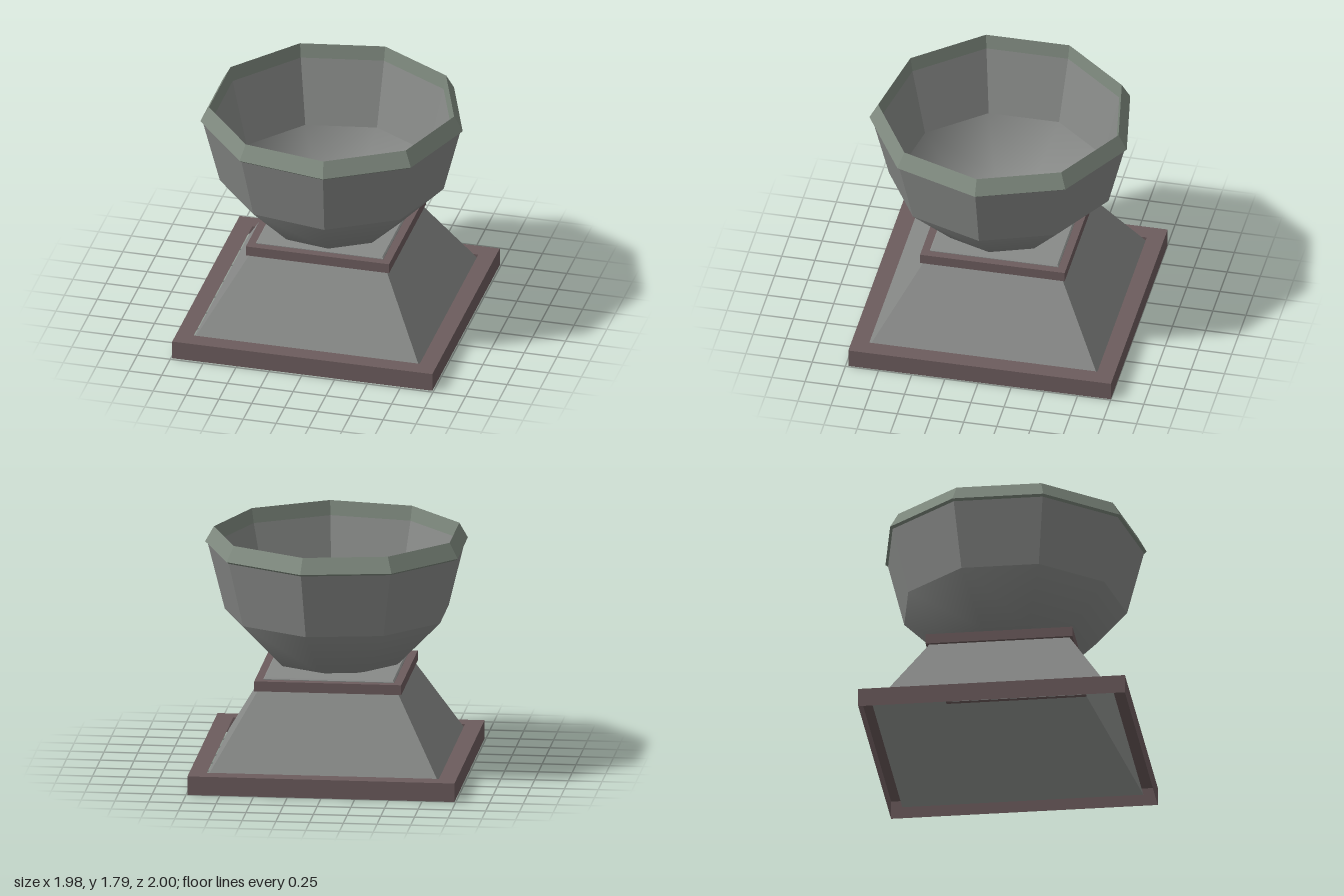
import * as THREE from 'three';

const material = (color, flatShading = true) =>
  new THREE.MeshStandardMaterial({ color, flatShading, side: THREE.DoubleSide });

const stone = material(0x888a88);
const smoothStone = material(0x888a88, false);
const trim = material(0x6c5c5d);
const rimGreen = material(0x7e897e);

function add(parent, name, geometry, mat) {
  const mesh = new THREE.Mesh(geometry, mat);
  mesh.name = name;
  parent.add(mesh);
}

// Square tapering shell given by half widths at its bottom and top
function squareShell(bottom, top, y0, y1, openEnded = true) {
  const g = new THREE.CylinderGeometry(top * Math.SQRT2, bottom * Math.SQRT2, y1 - y0, 4, 1, openEnded);
  return g.rotateY(Math.PI / 4).translate(0, (y0 + y1) / 2, 0);
}

// Flat square ring facing up at height y
function squareRing(outer, inner, y) {
  const g = new THREE.RingGeometry(inner * Math.SQRT2, outer * Math.SQRT2, 4, 1, Math.PI / 4);
  return g.rotateX(-Math.PI / 2).translate(0, y, 0);
}

// Nine-sided surface of revolution with a corner on +x
function nineSided(points) {
  const profile = points.map(([r, y]) => new THREE.Vector2(r, y));
  return new THREE.LatheGeometry(profile, 9, Math.PI / 2);
}

// Shade a bowl bottom like a sphere around height y; sign is 1 outside, -1 inside
function roundNormals(geometry, y, sign) {
  const { position, normal } = geometry.attributes;
  const n = new THREE.Vector3();
  for (let i = 0; i < position.count; i++) {
    n.fromBufferAttribute(position, i);
    n.y -= y;
    n.normalize().multiplyScalar(sign);
    normal.setXYZ(i, n.x, n.y, n.z);
  }
  return geometry;
}

export function createModel() {
  const model = new THREE.Group();

  // Hollow square pedestal; the shaft runs on below the plinth top
  const pedestal = new THREE.Group();
  pedestal.name = 'pedestal';
  pedestal.position.z = -0.01;
  model.add(pedestal);
  add(pedestal, 'plinthSides', squareShell(0.99, 0.99, 0, 0.14), trim);
  add(pedestal, 'plinthTop', squareRing(0.99, 0.86, 0.14), trim);
  add(pedestal, 'taperedShaft', squareShell(0.895, 0.515, 0.045, 0.7), stone);

  // Cap with a shallow plate on it
  add(pedestal, 'capSides', squareShell(0.545, 0.545, 0.69, 0.765), trim);
  add(pedestal, 'capTop', squareRing(0.545, 0.485, 0.765), trim);
  add(pedestal, 'capUnderside', squareRing(0.545, 0.485, 0.69), trim);
  add(pedestal, 'plateSides', squareShell(0.485, 0.485, 0.69, 0.77), stone);
  add(pedestal, 'plate', squareShell(0.485, 0.475, 0.77, 0.78, false), stone);

  // Nine-sided bowl
  const bowl = new THREE.Group();
  bowl.name = 'bowl';
  bowl.position.set(-0.01, 0, 0.03);
  model.add(bowl);
  const outerBottom = nineSided([[0, 0.775], [0.345, 0.78], [0.49, 0.82], [0.84, 1.17]]);
  const innerBottom = nineSided([[0.775, 1.18], [0.45, 0.86], [0.09, 0.81], [0, 0.81]]);
  add(bowl, 'bowlOuterBottom', roundNormals(outerBottom, 1.65, 1), smoothStone);
  add(bowl, 'bowlOuterWall', nineSided([[0.84, 1.17], [0.965, 1.66]]), stone);
  add(bowl, 'rim', nineSided([[0.965, 1.66], [0.985, 1.675], [0.92, 1.79], [0.9, 1.68]]), rimGreen);
  add(bowl, 'bowlInnerWall', nineSided([[0.9, 1.68], [0.775, 1.18]]), stone);
  add(bowl, 'bowlInnerBottom', roundNormals(innerBottom, 1.55, -1), smoothStone);

  return model;
}
